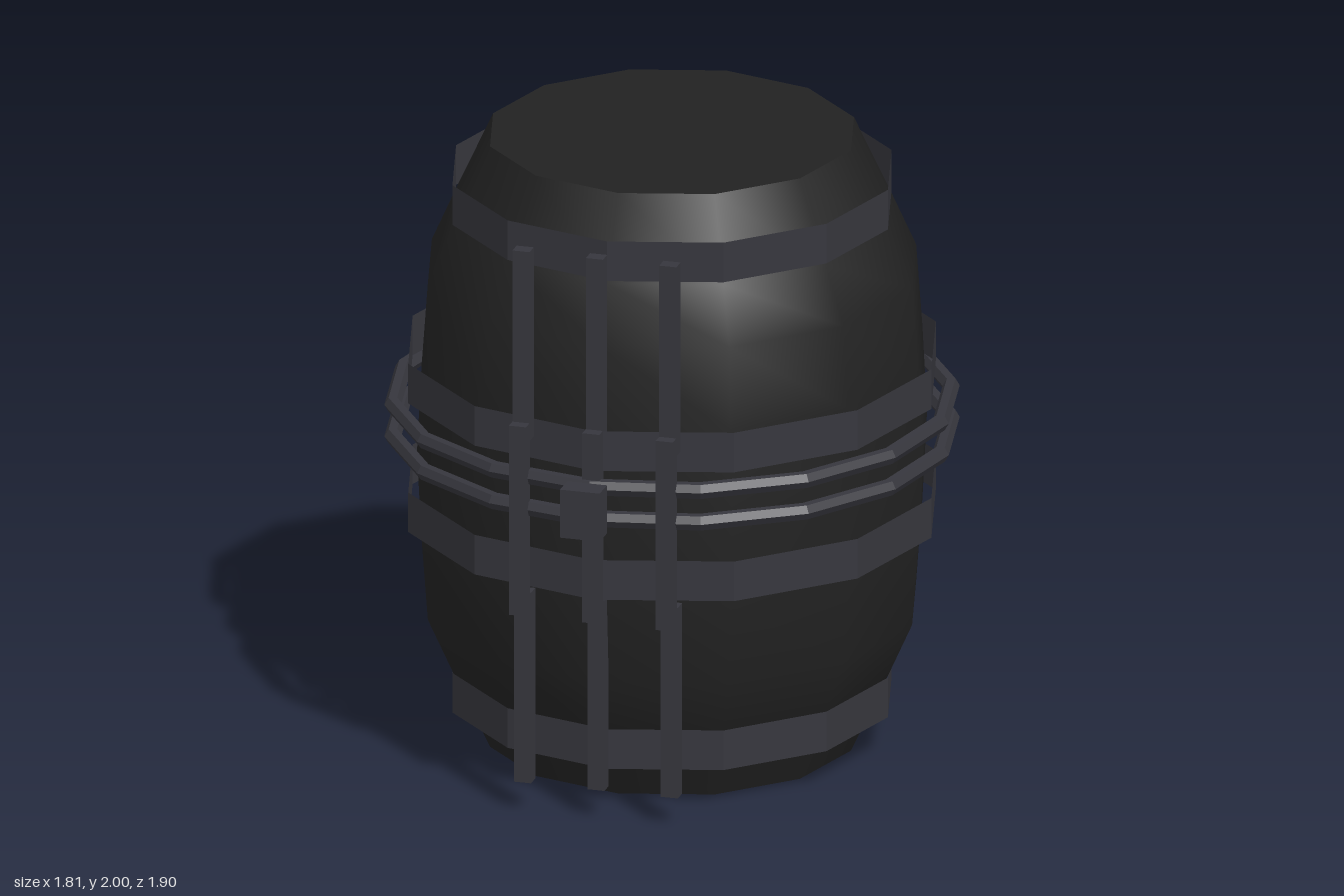
import * as THREE from 'three';

export function createModel() {
  const model = new THREE.Group();
  model.name = 'barrel';
  const wood = new THREE.MeshStandardMaterial({ color: 0x222222 });
  wood.name = 'darkWood';
  const iron = new THREE.MeshStandardMaterial({ color: 0x36363d, flatShading: true, side: THREE.DoubleSide });
  iron.name = 'darkIron';

  const add = (name, geometry, material, x = 0, y = 0, z = 0) => {
    const mesh = new THREE.Mesh(geometry, material);
    mesh.name = name;
    mesh.position.set(x, y, z);
    model.add(mesh);
    return mesh;
  };

  const SIDES = 12;
  const CZ = -0.045; // barrel axis, set back to make room for the bars

  // Bulging body with flat lids
  const profile = [
    [0.585, 0], [0.705, 0.26], [0.785, 0.44], [0.805, 0.71], [0.82, 1],
    [0.805, 1.29], [0.785, 1.56], [0.705, 1.74], [0.585, 2],
  ].map(([r, y]) => new THREE.Vector2(r, y));
  add('body', new THREE.LatheGeometry(profile, SIDES), wood, 0, 0, CZ);
  add('topLid', new THREE.CircleGeometry(0.585, SIDES), wood, 0, 2, CZ).rotation.x = -Math.PI / 2;
  add('bottomLid', new THREE.CircleGeometry(0.585, SIDES), wood, 0, 0, CZ).rotation.x = Math.PI / 2;

  // Thin open hoops
  for (const [r, y] of [[0.706, 0.19], [0.848, 0.803], [0.848, 1.232], [0.706, 1.815]]) {
    add('hoop', new THREE.CylinderGeometry(r, r, 0.132, SIDES, 1, true), iron, 0, y, CZ);
  }

  // Two loose rods circling the middle
  for (const y of [1.018, 1.123]) {
    add('ringRod', new THREE.TorusGeometry(0.878, 0.027, 6, 16), iron, 0, y, CZ).rotation.x = Math.PI / 2;
  }

  // Three upright bars, each of three overlapping lengths
  for (const x of [-0.24, 0, 0.24]) {
    for (const [name, y0, y1, z] of [
      ['lowerBar', 0.095, 0.73, 0.757],
      ['middleBar', 0.67, 1.3, 0.812],
      ['upperBar', 1.24, 1.87, 0.773],
    ]) {
      add(name, new THREE.BoxGeometry(0.056, y1 - y0, 0.047), iron, x, (y0 + y1) / 2, z);
    }
  }

  // Lock block
  add('lock', new THREE.BoxGeometry(0.13, 0.16, 0.08), iron, 0, 1.07, 0.915);

  return model;
}
